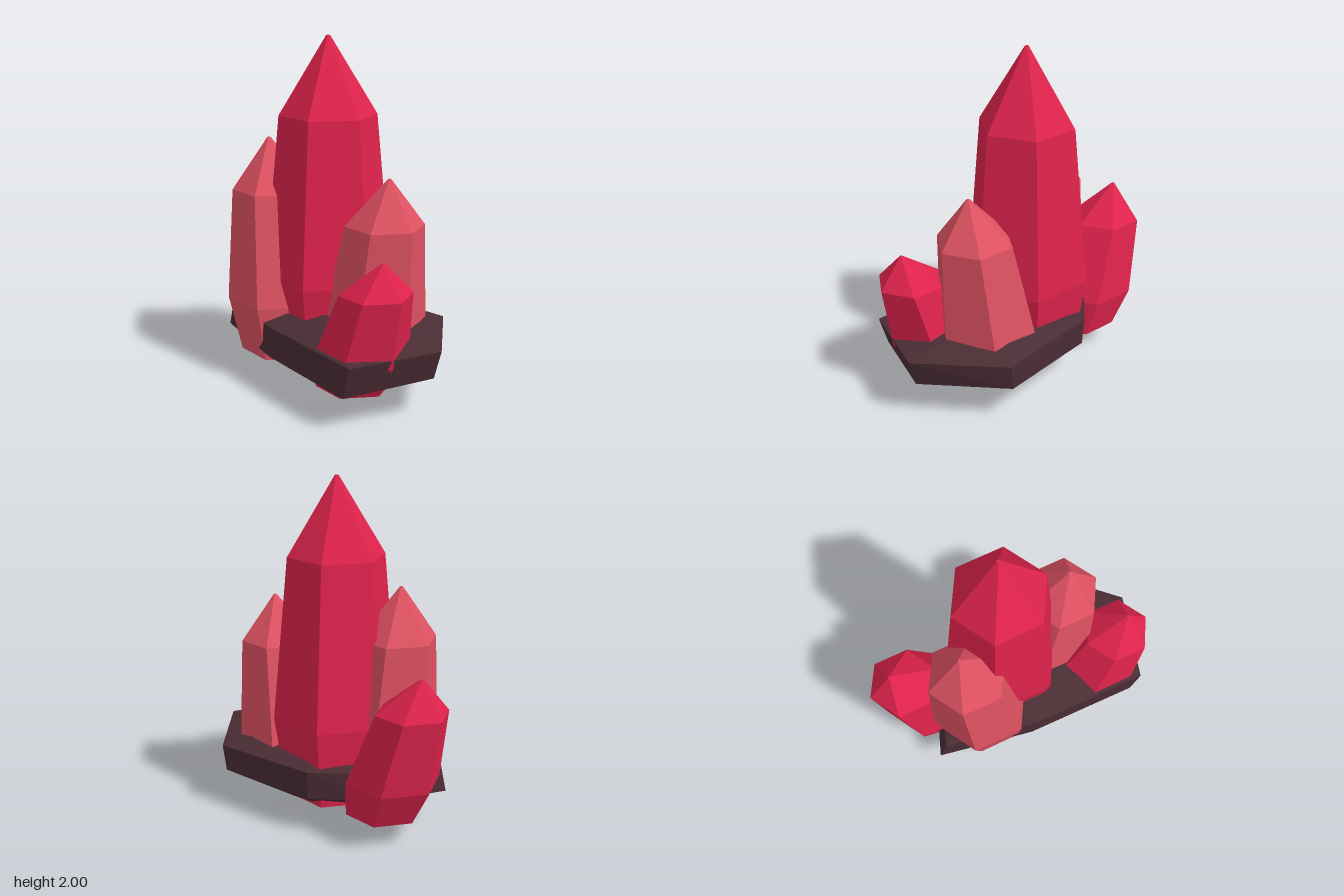
import * as THREE from 'three';
import { ConvexGeometry } from 'three/addons/geometries/ConvexGeometry.js';

const material = (name, color) => {
  const m = new THREE.MeshStandardMaterial({ color, flatShading: true });
  m.name = name;
  return m;
};

const BASE_Y = 0.14;

// Six-sided leaning crystal: narrow foot, widest ring, shoulder, then point
function crystalGeometry({ baseX, tipX, z, tipY, radius }) {
  const height = tipY - BASE_Y;
  const profile = [[0, 0], [0.81, 0], [1, 0.253], [0.765, 0.76], [0.03, 1], [0, 1]]
    .map(([r, t]) => new THREE.Vector2(r * radius, t * height));
  const geometry = new THREE.LatheGeometry(profile, 6).rotateY(Math.PI / 6).toNonIndexed();
  const pos = geometry.attributes.position;
  for (let i = 0; i < pos.count; i++) {
    const t = pos.getY(i) / height;
    pos.setX(i, pos.getX(i) + baseX + (tipX - baseX) * t);
  }
  geometry.translate(0, BASE_Y, z);
  geometry.computeVertexNormals();
  return geometry;
}

// Faceted slab with a low dome on top and a blunt keel below
function rockGeometry() {
  const points = [
    // upper rim
    [0.46, 0.385, -0.46], [0.865, 0.39, -0.065], [0.725, 0.375, 0.45], [-0.01, 0.38, 0.44],
    [-0.57, 0.37, 0.33], [-0.43, 0.38, -0.1], [-0.185, 0.385, -0.36],
    // lower rim
    [0.44, 0.23, -0.45], [0.82, 0.225, -0.055], [0.67, 0.19, 0.45], [-0.03, 0.2, 0.44],
    [-0.617, 0.205, 0.33], [-0.47, 0.21, -0.06], [-0.18, 0.22, -0.35],
    // dome
    [-0.1, 0.5, 0.1], [0.2, 0.51, -0.08], [-0.3, 0.46, 0.1],
    // keel
    [-0.11, 0, 0.145], [0.14, 0.035, -0.11], [0, 0.035, -0.1],
  ];
  return new ConvexGeometry(points.map((p) => new THREE.Vector3(...p)));
}

export function createModel() {
  const red = material('crimson crystal', 0xe0234c);
  const pink = material('rose crystal', 0xe05262);
  const stone = material('dark stone', 0x4a2d34);

  const group = new THREE.Group();
  group.name = 'crystalCluster';
  const add = (name, geometry, mat) => {
    const mesh = new THREE.Mesh(geometry, mat);
    mesh.name = name;
    group.add(mesh);
  };

  add('rockBase', rockGeometry(), stone);

  const crystals = [
    { name: 'mainCrystal', mat: red, baseX: -0.042, tipX: -0.042, z: 0, tipY: 2, radius: 0.37 },
    { name: 'rightFrontCrystal', mat: pink, baseX: -0.238, tipX: -0.367, z: 0.188, tipY: 1.4, radius: 0.308 },
    { name: 'leftBackCrystal', mat: pink, baseX: 0.275, tipX: 0.427, z: -0.062, tipY: 1.253, radius: 0.295 },
    { name: 'rightOuterCrystal', mat: red, baseX: -0.46, tipX: -0.727, z: -0.022, tipY: 0.995, radius: 0.273 },
    { name: 'leftOuterCrystal', mat: red, baseX: 0.463, tipX: 0.7, z: 0.207, tipY: 0.89, radius: 0.262 },
  ];
  for (const c of crystals) add(c.name, crystalGeometry(c), c.mat);

  return group;
}
